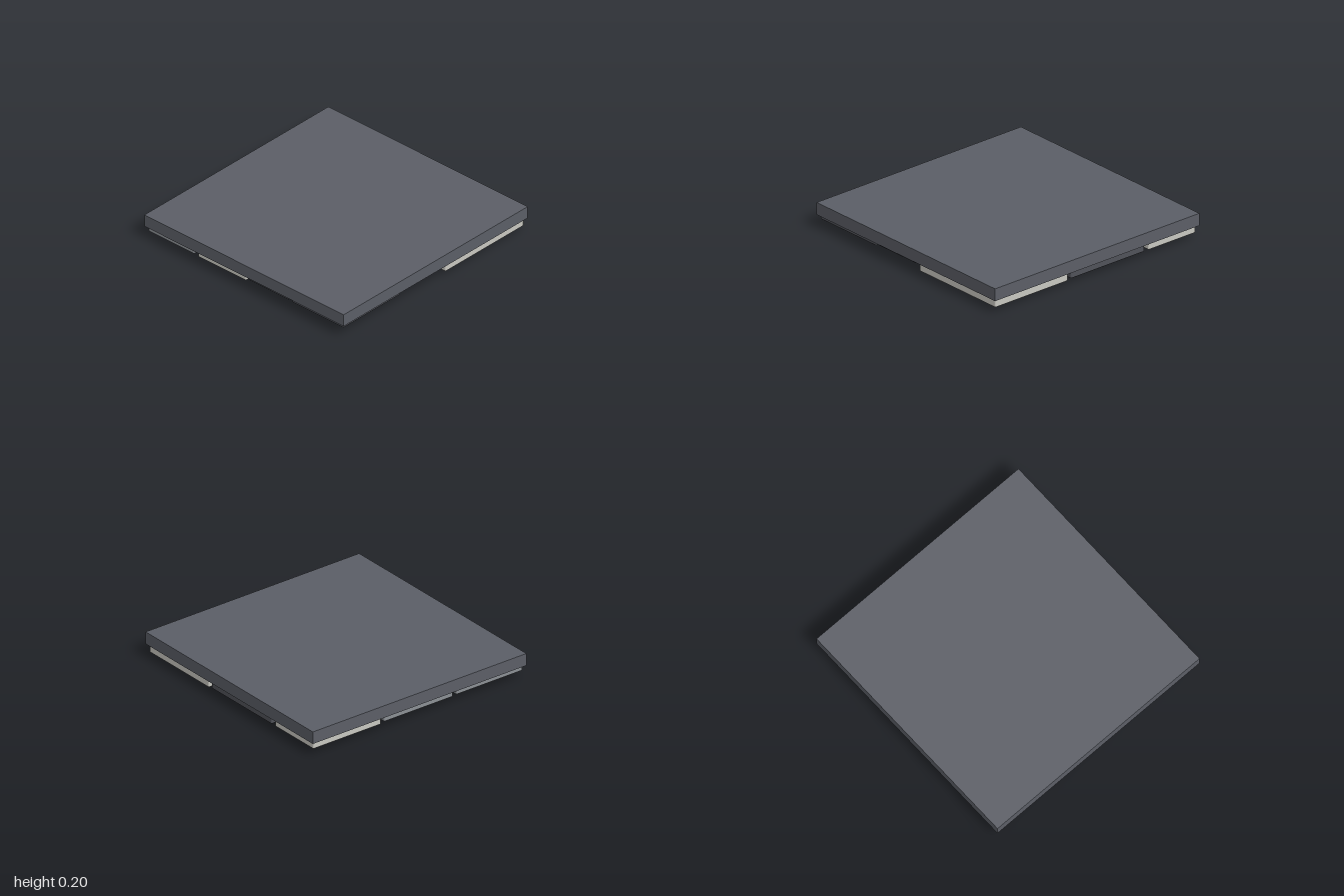
import * as THREE from 'three';
import { RoundedBoxGeometry } from 'three/addons/geometries/RoundedBoxGeometry.js';

const mat = (name, color) => {
  const m = new THREE.MeshStandardMaterial({ color });
  m.name = name;
  return m;
};

export function createModel() {
  const group = new THREE.Group();
  const slate = mat('slate', 0x5b5e66);
  const dark = mat('dark panel', 0x505259);
  const grey = mat('mid grey', 0x8b8f94);
  const light = mat('warm white', 0xc8c7c0);
  const vent = mat('vent dark', 0x3f4146);
  const teal = mat('teal', 0x2fc4d6);
  const orange = mat('orange', 0xdf8c34);

  const add = (name, geometry, material, x, y, z) => {
    const mesh = new THREE.Mesh(geometry, material);
    mesh.name = name;
    mesh.position.set(x, y, z);
    group.add(mesh);
    return mesh;
  };
  // Box given by its limits on each axis; a radius rounds the edges
  const block = (name, material, [x0, x1], [y0, y1], [z0, z1], radius = 0) => {
    const w = x1 - x0, h = y1 - y0, d = z1 - z0;
    const geometry = radius
      ? new RoundedBoxGeometry(w, h, d, 2, radius)
      : new THREE.BoxGeometry(w, h, d);
    return add(name, geometry, material, (x0 + x1) / 2, (y0 + y1) / 2, (z0 + z1) / 2);
  };

  // Base slab
  block('slab', slate, [-1, 1], [0.1, 0.2], [-1, 1]);

  // Panels hung below the slab: name, material, x range, z range, bottom height
  const colLeft = [0.13, 0.98], colMid = [-0.33, 0.09], colRight = [-0.98, -0.36];
  const panels = [
    ['backLeftPanel', light, [0.345, 0.98], [-0.98, -0.52], 0.04],
    ['backMiddlePanel', grey, [-0.33, 0.315], [-0.98, -0.52], 0.05],
    ['backRightPanel', grey, colRight, [-0.98, -0.52], 0.055],
    ['handlePanel', dark, colLeft, [-0.48, 0.24], 0.04],
    ['frontLeftPanel', light, colLeft, [0.27, 0.98], 0.032],
    ['stripPanel', grey, colMid, [-0.48, 0.445], 0.04],
    ['bandPanel', dark, colMid, [0.475, 0.98], 0.08],
    ['boltedPanel', light, colRight, [-0.48, 0.0], 0.05],
    ['ventPanel', dark, colRight, [0.03, 0.43], 0.07],
    ['frontRightPanel', dark, colRight, [0.46, 0.98], 0.065],
  ];
  for (const [name, material, xs, zs, bottom] of panels) {
    block(name, material, xs, [bottom, 0.1], zs, Math.min(0.01, (0.1 - bottom) * 0.3));
  }

  // Teal strip and orange band
  block('tealStrip', teal, [-0.03, -0.01], [0.033, 0.041], [-0.36, 0.39]);
  block('orangeBand', orange, [-0.325, 0.085], [0.076, 0.082], [0.58, 0.67]);

  // Pull handle: a bar on two posts
  const bar = add('handleBar', new THREE.CylinderGeometry(0.005, 0.005, 0.52, 12), grey, 0.55, 0.005, -0.12);
  bar.rotation.z = Math.PI / 2;
  for (const x of [0.295, 0.805]) {
    add('handlePost', new THREE.CylinderGeometry(0.005, 0.005, 0.04, 12), grey, x, 0.024, -0.12);
  }

  // Corner bolts
  for (const x of [-0.95, -0.39]) {
    for (const z of [-0.45, -0.03]) {
      add('bolt', new THREE.CylinderGeometry(0.011, 0.011, 0.012, 16), dark, x, 0.048, z);
    }
  }

  // Vent slats
  for (let i = 0; i < 9; i++) {
    const z = 0.08 + i * 0.0375;
    block('ventSlat', vent, [-0.92, -0.42], [0.062, 0.072], [z - 0.008, z + 0.008]);
  }

  return group;
}
